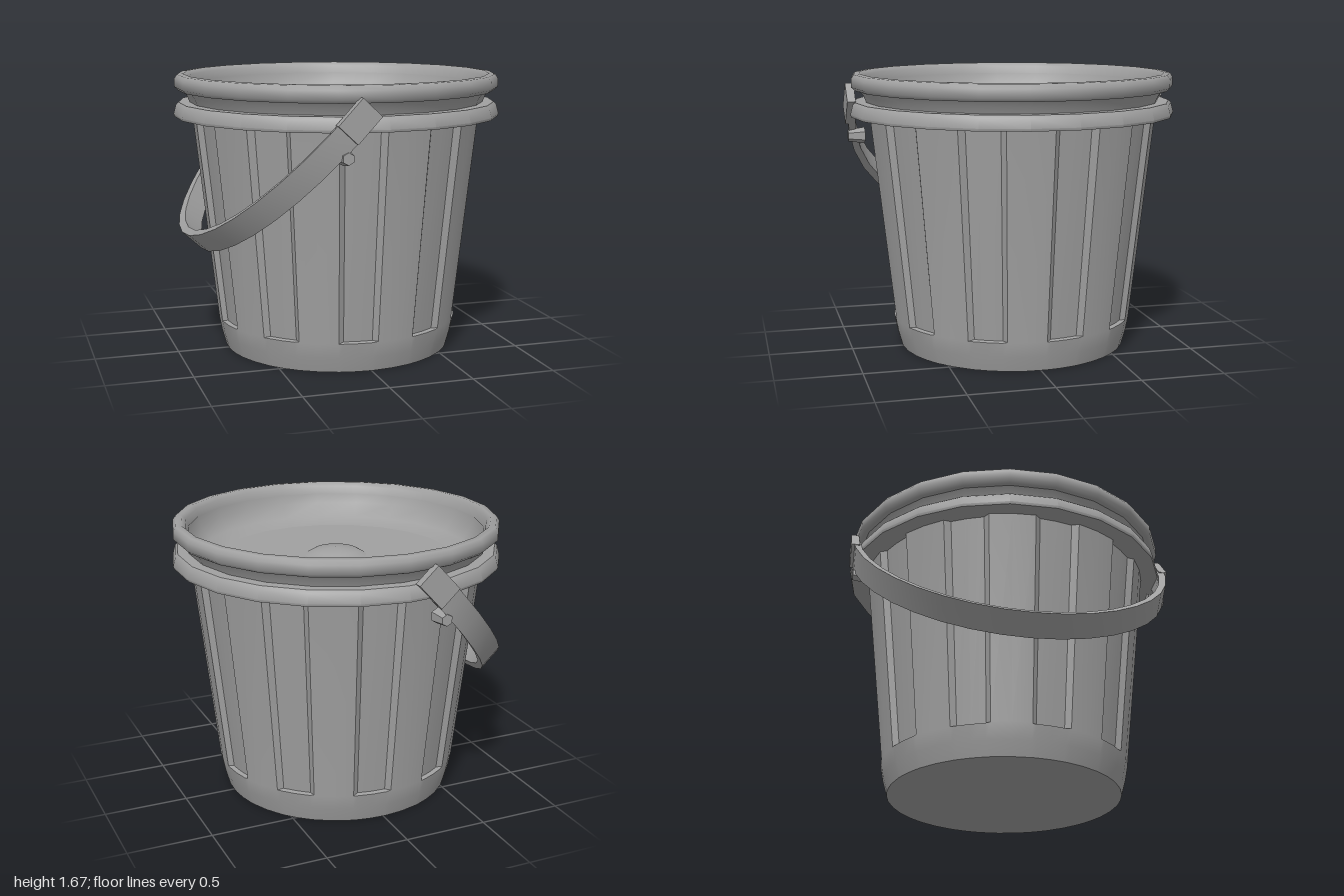
import * as THREE from 'three';
import { toCreasedNormals } from 'three/addons/utils/BufferGeometryUtils.js';

const V = (x, y) => new THREE.Vector2(x, y);

// Skins a list of closed rings (equal point counts); optional flat caps at both ends.
function loft(rings, caps) {
  const n = rings[0].length, pos = rings.flat(2), idx = [];
  for (let i = 0; i < rings.length - 1; i++) {
    for (let j = 0; j < n; j++) {
      const a = i * n + j, b = i * n + (j + 1) % n;
      idx.push(a, b, b + n, a, b + n, a + n);
    }
  }
  if (caps) {
    const e = (rings.length - 1) * n;
    for (let j = 1; j < n - 1; j++) idx.push(0, j + 1, j, e, e + j, e + j + 1);
  }
  const g = new THREE.BufferGeometry();
  g.setAttribute('position', new THREE.Float32BufferAttribute(pos, 3));
  g.setIndex(idx);
  return g;
}

export function createModel() {
  const group = new THREE.Group();
  const plastic = new THREE.MeshStandardMaterial({ color: 0xa0a0a0, side: THREE.DoubleSide });
  plastic.name = 'grey plastic';

  function add(name, geometry, crease = 0.6) {
    const mesh = new THREE.Mesh(toCreasedNormals(geometry, crease), plastic);
    mesh.name = name;
    group.add(mesh);
    return mesh;
  }

  // Tapered body: plain base band, then alternating raised and recessed panels
  const panels = 10, steps = [0, 0.25, 0.5, 0.56, 0.75, 0.94];
  const ring = (y, r, recess) => {
    const points = [];
    for (let p = 0; p < panels; p++) {
      for (const s of steps) {
        const a = -((p + s) / panels) * Math.PI * 2 + 0.35;
        const d = s > 0.5 && s < 0.95 ? r - recess : r;
        points.push([Math.sin(a) * d, y, Math.cos(a) * d]);
      }
    }
    return points.reverse();
  };
  add('body', loft([
    ring(0, 0.69, 0), ring(0.09, 0.715, 0), ring(0.18, 0.732, 0),
    ring(0.185, 0.732, 0.028), ring(1.43, 0.87, 0.032),
  ], true), 0.5);

  // Flared lower flange, neck and rounded upper rim
  add('lowerFlange', new THREE.LatheGeometry([
    V(0.82, 1.42), V(0.975, 1.415), V(0.98, 1.43), V(0.965, 1.485), V(0.95, 1.5), V(0.87, 1.5),
  ], 22));
  add('neck', new THREE.LatheGeometry([V(0.88, 1.49), V(0.9, 1.54), V(0.93, 1.58)], 22));
  add('upperRim', new THREE.LatheGeometry([
    V(0.89, 1.575), V(0.95, 1.57), V(0.972, 1.59), V(0.972, 1.64), V(0.955, 1.665),
    V(0.92, 1.668), V(0.895, 1.645), V(0.88, 1.6),
  ], 22), 0.9);

  // Recessed top surface with a low central bump
  add('recessedLid', new THREE.LatheGeometry([
    V(0.89, 1.63), V(0.87, 1.54), V(0.81, 1.46), V(0.68, 1.425), V(0.45, 1.415),
    V(0.2, 1.42), V(0.13, 1.46), V(0, 1.475),
  ].reverse(), 22), 1.2);

  // Flat curved handle hanging down to one side
  const down = new THREE.Vector3(-0.77, -0.83, 0);
  const side = new THREE.Vector3(-0.733, 0.68, 0);
  const pivot = new THREE.Vector3(-0.15, 1.5, 0);
  const sections = [];
  for (let i = 0; i <= 18; i++) {
    const t = (i / 18) * Math.PI;
    const section = [[0.03, -1], [0.03, 1], [-0.012, 0.9], [-0.012, -0.9]].map(([out, w]) => {
      const k = 0.95 + out;
      return pivot.clone()
        .addScaledVector(down, Math.sin(t) * k)
        .addScaledVector(side, w * 0.075)
        .add(new THREE.Vector3(0, 0, Math.cos(t) * k)).toArray();
    });
    sections.push(section);
  }
  add('handle', loft(sections, true), 0.7);

  // Hinge ends and small pegs on the front and back
  for (const s of [1, -1]) {
    const end = add(s > 0 ? 'frontHinge' : 'backHinge', new THREE.BoxGeometry(0.2, 0.15, 0.05));
    end.position.set(-0.17, 1.48, s * 0.965);
    end.rotation.z = 0.82;
    const peg = add(s > 0 ? 'frontPeg' : 'backPeg', new THREE.CylinderGeometry(0.035, 0.05, 0.1, 6));
    peg.position.set(-0.23, 1.28, s * 0.92);
    peg.rotation.x = s * Math.PI / 2;
  }
  return group;
}
